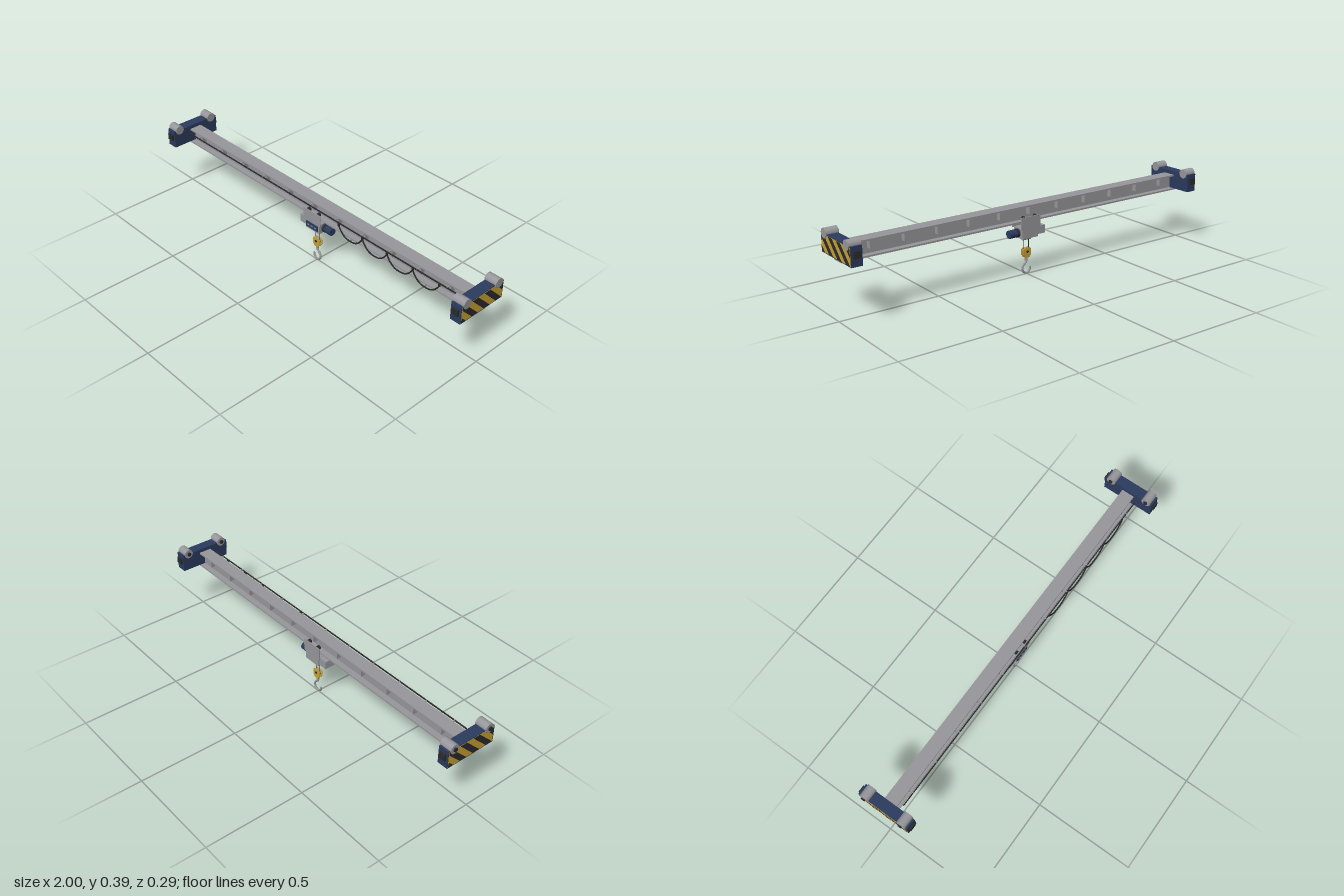
import * as THREE from 'three';

const mat = (name, color) => {
  const m = new THREE.MeshStandardMaterial({ color });
  m.name = name;
  return m;
};

export function createModel() {
  const steel = mat('steel grey', 0x98979c);
  const navy = mat('navy paint', 0x2b3b5e);
  const yellow = mat('warning yellow', 0xc8a233);
  const dark = mat('dark rubber', 0x2b2b2c);

  const root = new THREE.Group();
  root.name = 'overheadCrane';
  const group = (name, parent = root) => {
    const g = new THREE.Group();
    g.name = name;
    parent.add(g);
    return g;
  };
  const add = (parent, name, geo, material, x = 0, y = 0, z = 0) => {
    const m = new THREE.Mesh(geo, material);
    m.name = name;
    m.position.set(x, y, z);
    parent.add(m);
    return m;
  };
  const box = (parent, name, material, w, h, d, x, y, z) =>
    add(parent, name, new THREE.BoxGeometry(w, h, d), material, x, y, z);
  // cylinder along the x, y or z axis
  const cyl = (parent, name, material, r, len, axis, x, y, z, seg = 28) => {
    const g = new THREE.CylinderGeometry(r, r, len, seg);
    if (axis === 'x') g.rotateZ(Math.PI / 2);
    if (axis === 'z') g.rotateX(Math.PI / 2);
    return add(parent, name, g, material, x, y, z);
  };
  const tube = (parent, name, material, pts, r, n) => add(parent, name,
    new THREE.TubeGeometry(new THREE.CatmullRomCurve3(pts.map(p => new THREE.Vector3(...p))), n, r, 10), material);

  // I-beam girder
  const CX = 0.003;
  const girder = group('girder');
  box(girder, 'topFlange', steel, 1.975, 0.008, 0.066, CX, 0.348, 0);
  box(girder, 'bottomFlange', steel, 1.975, 0.008, 0.066, CX, 0.276, 0);
  box(girder, 'web', steel, 1.975, 0.066, 0.008, CX, 0.312, 0);

  // web stiffeners and the arms that carry the cable rail
  for (let i = -5; i <= 5; i++) {
    const x = CX + i * 0.169;
    for (const s of [-1, 1]) box(girder, 'stiffener', steel, 0.005, 0.04, 0.024, x, 0.325, s * 0.016);
    box(girder, 'railArm', steel, 0.005, 0.005, 0.03, x, 0.341, 0.039);
  }

  // cable rail with hanging loops
  const festoon = group('festoon');
  box(festoon, 'cableRail', dark, 1.83, 0.005, 0.005, CX, 0.341, 0.052);
  const loopW = 0.152;
  for (let i = 0; i < 4; i++) {
    const pts = [];
    for (let k = 0; k <= 10; k++) {
      const t = k / 10 * 2 - 1;
      pts.push([0.2 + loopW * (i + 0.5 + t / 2), 0.278 + 0.05 * Math.pow(Math.abs(t), 2.6), 0.053]);
    }
    tube(festoon, 'cableLoop', dark, pts, 0.0035, 32);
  }
  for (let i = 0; i <= 4; i++) box(festoon, 'cableCarrier', dark, 0.008, 0.014, 0.007, 0.2 + loopW * i, 0.333, 0.053);

  // keep the part of a polygon where f >= 0
  const clip = (poly, f) => poly.flatMap((p, i) => {
    const q = poly[(i + 1) % poly.length], a = f(p), b = f(q), t = a / (a - b);
    const out = a >= 0 ? [p] : [];
    if ((a >= 0) !== (b >= 0)) out.push([p[0] + (q[0] - p[0]) * t, p[1] + (q[1] - p[1]) * t]);
    return out;
  });

  // end trucks with wheels, buffers and hazard stripes
  for (const side of [-1, 1]) {
    const truck = group(side > 0 ? 'leftEndTruck' : 'rightEndTruck');
    truck.position.x = side > 0 ? 0.968 : -0.962;
    box(truck, 'truckBody', navy, 0.054, 0.09, 0.268, 0, 0.325, 0);
    for (const s of [-1, 1]) {
      cyl(truck, 'wheel', steel, 0.0235, 0.062, 'x', 0, 0.371, s * 0.101);
      cyl(truck, 'wheelAxle', dark, 0.01, 0.008, 'x', -0.034, 0.371, s * 0.101, 16);
      box(truck, 'buffer', dark, 0.034, 0.032, 0.01, 0, 0.334, s * 0.139);
    }
    const sign = group('hazardPanel', truck);
    sign.position.set(side * 0.027, 0.325, 0);
    sign.rotation.y = side * Math.PI / 2;
    box(sign, 'panel', yellow, 0.26, 0.082, 0.001, 0, 0, 0.0005);
    const rect = [[-0.13, -0.041], [0.13, -0.041], [0.13, 0.041], [-0.13, 0.041]];
    for (let c = -0.16; c < 0.18; c += 0.076) {
      const poly = clip(clip(rect, p => p[0] + p[1] - c + 0.019), p => c + 0.019 - p[0] - p[1]);
      if (poly.length < 3) continue;
      const shape = new THREE.Shape(poly.map(p => new THREE.Vector2(...p)));
      add(sign, 'stripe', new THREE.ShapeGeometry(shape), dark, 0, 0, 0.0018);
    }
  }

  // trolley running on the bottom flange
  const trolley = group('trolley');
  for (const s of [-1, 1]) {
    box(trolley, 'sidePlate', steel, 0.112, 0.062, 0.004, 0.003, 0.267, s * 0.036);
    for (const x of [-0.03, 0.036]) {
      cyl(trolley, 'trolleyWheel', dark, 0.01, 0.014, 'z', x, 0.29, s * 0.024, 20);
      box(trolley, 'guideBlock', dark, 0.014, 0.008, 0.016, x, 0.268, s * 0.016);
    }
  }
  for (const x of [-0.03, 0.036]) box(trolley, 'crossBar', steel, 0.012, 0.005, 0.07, x, 0.264, 0);

  // hoist body, gearbox and motor
  const hoist = group('hoist');
  box(hoist, 'hoistBody', steel, 0.092, 0.05, 0.068, 0.004, 0.215, 0);
  box(hoist, 'gearbox', steel, 0.048, 0.04, 0.056, -0.064, 0.218, 0);
  box(hoist, 'frontPanel', navy, 0.078, 0.03, 0.005, 0.003, 0.215, 0.0355);
  for (const x of [-0.02, 0.003, 0.026]) box(hoist, 'panelVent', steel, 0.014, 0.005, 0.002, x, 0.215, 0.0385);
  cyl(hoist, 'motor', navy, 0.02, 0.058, 'x', 0.077, 0.216, 0);
  cyl(hoist, 'motorCollar', dark, 0.0215, 0.008, 'x', 0.062, 0.216, 0);
  cyl(hoist, 'ropeGuide', steel, 0.0105, 0.046, 'x', 0.003, 0.183, 0);

  // ropes and hook block
  const block = group('hookBlock');
  block.position.x = 0.003;
  for (const s of [-1, 1]) {
    cyl(block, 'rope', dark, 0.0016, 0.07, 'y', s * 0.014, 0.147, 0, 8);
    // cheek plate tapering towards the hook
    const cheek = new THREE.Shape([[-0.023, 0.126], [-0.016, 0.133], [0.016, 0.133], [0.023, 0.126],
      [0.023, 0.102], [0.012, 0.084], [-0.012, 0.084], [-0.023, 0.102]].map(p => new THREE.Vector2(...p)));
    const geo = new THREE.ExtrudeGeometry(cheek, { depth: 0.004, bevelEnabled: false });
    add(block, 'cheekPlate', geo, yellow, 0, 0, s * 0.008 - 0.002);
  }
  cyl(block, 'sheave', steel, 0.018, 0.01, 'z', 0, 0.117, 0);
  cyl(block, 'sheavePin', dark, 0.006, 0.027, 'z', 0, 0.115, 0, 16);
  cyl(block, 'swivel', steel, 0.007, 0.018, 'y', 0, 0.077, 0, 16);
  tube(block, 'hook', steel, [[0, 0.08, 0], [0, 0.062, 0], [0.01, 0.053, 0], [0.02, 0.04, 0], [0.021, 0.024, 0],
    [0.013, 0.01, 0], [0, 0.005, 0], [-0.014, 0.009, 0], [-0.022, 0.021, 0], [-0.024, 0.032, 0]], 0.005, 48);
  add(block, 'hookTip', new THREE.SphereGeometry(0.005, 12, 8), steel, -0.024, 0.032, 0);

  return root;
}
